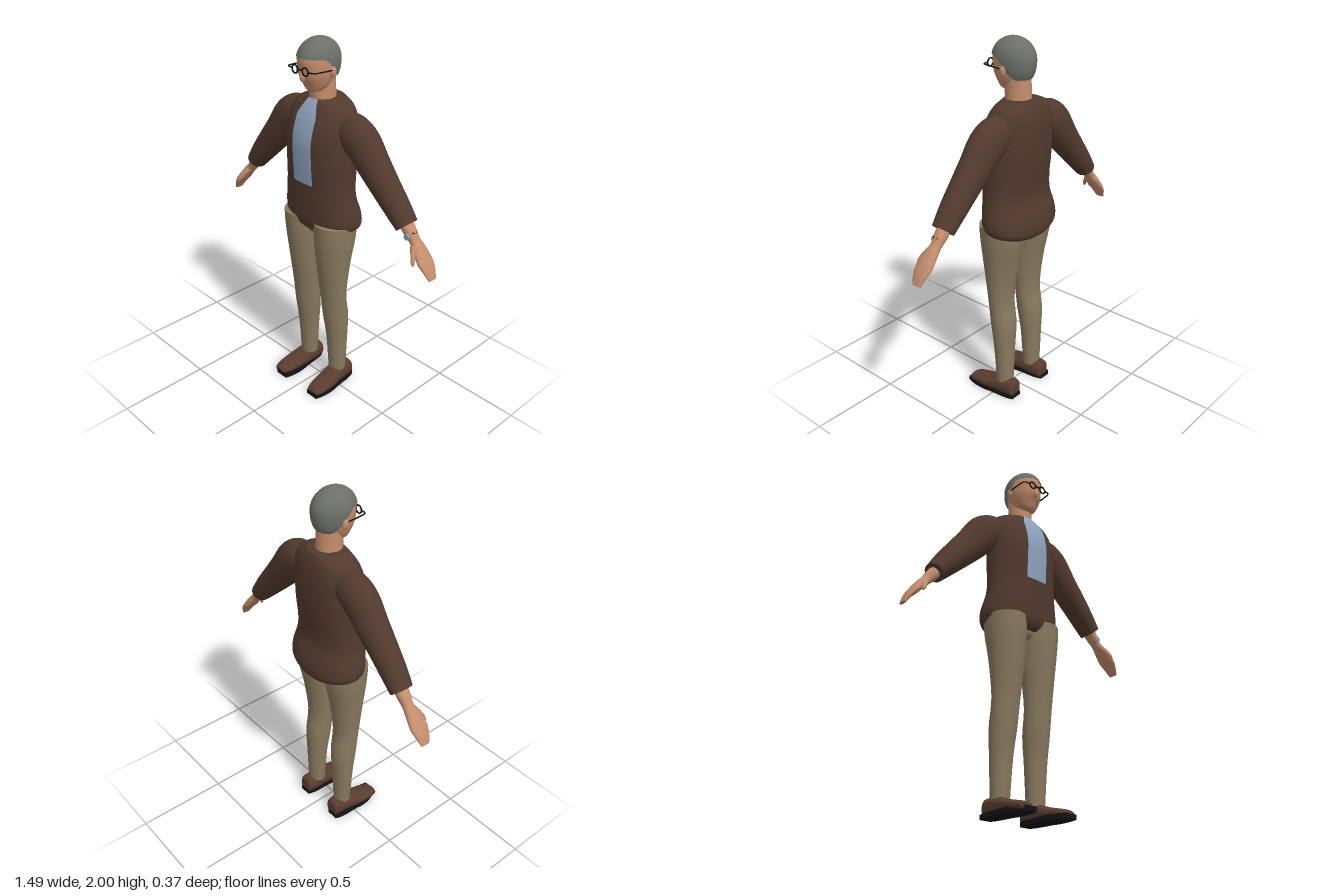
import * as THREE from 'three';

const mat = (name, color, side = THREE.FrontSide) => {
  const m = new THREE.MeshStandardMaterial({ color, side });
  m.name = name;
  return m;
};
const Z = new THREE.Vector3(0, 0, 1), Y = new THREE.Vector3(0, 1, 0);

// Smooth value of a table of rows at t (Catmull-Rom, one column at a time)
function sample(rows, t) {
  const n = rows.length - 1, i = Math.min(Math.floor(t), n - 1), f = t - i;
  const row = k => rows[Math.max(0, Math.min(n, k))];
  return rows[0].map((_, c) => {
    const [a, b, d, e] = [row(i - 1)[c], row(i)[c], row(i + 1)[c], row(i + 2)[c]];
    return b + 0.5 * f * (d - a + f * (2 * a - 5 * b + 4 * d - e + f * (3 * (b - d) + e - a)));
  });
}

// Closed skin over rows of [x, y, z, radiusAcross, radiusAlongV]; p sets how square the rings are
function loft(rows, V = Z, p = 2, seg = 36, sub = 4) {
  const pos = [], idx = [], steps = (rows.length - 1) * sub;
  for (let i = 0; i <= steps; i++) {
    const t = i / sub, [x, y, z, ra, rb] = sample(rows, t);
    const a = sample(rows, Math.max(0, t - 0.1)), b = sample(rows, Math.min(rows.length - 1, t + 0.1));
    const T = new THREE.Vector3(b[0] - a[0], b[1] - a[1], b[2] - a[2]);
    const U = new THREE.Vector3().crossVectors(V, T).normalize();
    for (let j = 0; j < seg; j++) {
      const q = j / seg * Math.PI * 2, c = Math.cos(q), s = Math.sin(q);
      const u = Math.sign(c) * Math.abs(c) ** (2 / p) * ra, v = Math.sign(s) * Math.abs(s) ** (2 / p) * rb;
      pos.push(x + U.x * u + V.x * v, y + U.y * u + V.y * v, z + U.z * u + V.z * v);
    }
  }
  for (let i = 0; i < steps; i++) for (let j = 0; j < seg; j++) {
    const k = (j + 1) % seg, a = i * seg + j, b = i * seg + k, c = b + seg, d = a + seg;
    idx.push(a, b, c, a, c, d);
  }
  // Flat caps with their own corners
  for (const end of [0, steps]) {
    const first = pos.length / 3, r = rows[end ? rows.length - 1 : 0];
    pos.push(...pos.slice(end * seg * 3, (end + 1) * seg * 3), r[0], r[1], r[2]);
    for (let j = 0; j < seg; j++) {
      const a = first + j, b = first + (j + 1) % seg;
      idx.push(first + seg, end ? a : b, end ? b : a);
    }
  }
  const g = new THREE.BufferGeometry();
  g.setAttribute('position', new THREE.Float32BufferAttribute(pos, 3));
  g.setIndex(idx);
  g.computeVertexNormals();
  return g;
}

export function createModel() {
  const sweater = mat('sweater brown', 0x523a2e), khaki = mat('trouser khaki', 0x897a5f);
  const skin = mat('skin', 0xc48d6c), grey = mat('hair grey', 0x6d706a, THREE.DoubleSide);
  const blue = mat('shirt blue', 0x8fa3be, THREE.DoubleSide), leather = mat('shoe leather', 0x5a3d31);
  const black = mat('black', 0x141416);
  const model = new THREE.Group(), body = new THREE.Group();
  body.name = 'figure';
  body.position.x = -0.011;
  model.add(body);
  const add = (name, geo, m, parent = body) => {
    const o = new THREE.Mesh(geo, m);
    o.name = name;
    parent.add(o);
    return o;
  };

  // Sweater body: y, half width, front z, back z
  const torso = [
    [0.985, 0.165, 0.065, -0.172], [1.01, 0.215, 0.085, -0.182], [1.045, 0.233, 0.096, -0.184],
    [1.1, 0.231, 0.1, -0.175], [1.18, 0.215, 0.103, -0.15], [1.265, 0.207, 0.106, -0.15],
    [1.38, 0.206, 0.113, -0.164], [1.5, 0.203, 0.114, -0.17], [1.6, 0.196, 0.088, -0.167],
    [1.665, 0.165, 0.055, -0.155], [1.7, 0.09, 0.03, -0.14],
  ].map(([y, w, f, b]) => [0, y, (f + b) / 2, w, (f - b) / 2]);
  add('sweaterBody', loft(torso, Z, 2.25, 48), sweater);

  // Shirt front: a thin strip that follows the chest
  const strip = new THREE.PlaneGeometry(2, 1, 8, 20), sp = strip.attributes.position;
  for (let i = 0; i < sp.count; i++) {
    const t = 5 + 4.95 * (sp.getY(i) + 0.5), [, y, z, rx, rz] = sample(torso, t);
    const half = y > 1.62 ? 0.067 - (y - 1.62) * 0.45 : 0.067, x = sp.getX(i) * half;
    sp.setXYZ(i, x, y, z + rz * (1 - Math.abs(x / rx) ** 2.25) ** (1 / 2.25) + 0.004);
  }
  strip.computeVertexNormals();
  add('shirtFront', strip, blue);

  // Seat of the trousers between the legs
  add('trouserSeat', loft([[0, 0.945, -0.02, 0.03, 0.05], [0, 0.965, -0.03, 0.09, 0.08],
    [0, 1.01, -0.04, 0.13, 0.1]]), khaki);

  for (const s of [1, -1]) {
    const side = s > 0 ? 'left' : 'right';

    // Trouser leg: y, x, half width, front z, back z
    const leg = [
      [0.085, 0.115, 0.05, 0.006, -0.086], [0.3, 0.114, 0.062, 0.02, -0.092],
      [0.45, 0.111, 0.073, 0.041, -0.096], [0.6, 0.109, 0.078, 0.056, -0.076],
      [0.8, 0.108, 0.094, 0.083, -0.1], [0.95, 0.111, 0.107, 0.1, -0.13], [1.045, 0.113, 0.109, 0.104, -0.135],
    ].map(([y, x, w, f, b]) => [s * x, y, (f + b) / 2, w, (f - b) / 2]);
    add(side + 'TrouserLeg', loft(leg), khaki);

    // Shoe upper, heel to toe: z, x, half width, top
    const shoe = [
      [-0.124, 0.122, 0.035, 0.085], [-0.11, 0.122, 0.044, 0.103], [-0.05, 0.122, 0.05, 0.102],
      [0.0, 0.125, 0.053, 0.093], [0.06, 0.13, 0.057, 0.073], [0.13, 0.135, 0.052, 0.055],
      [0.165, 0.138, 0.042, 0.046], [0.18, 0.139, 0.033, 0.036],
    ].map(([z, x, w, top]) => [s * x, (top + 0.006) / 2, z, w, (top - 0.006) / 2]);
    add(side + 'ShoeUpper', loft(shoe, Y, 2.5, 28), leather);

    // Flat sole
    const sole = new THREE.Shape();
    sole.moveTo(0.09, 0.128);
    sole.lineTo(0.155, 0.128);
    sole.bezierCurveTo(0.18, 0.08, 0.17, 0.02, 0.188, -0.05);
    sole.bezierCurveTo(0.194, -0.11, 0.188, -0.14, 0.176, -0.184);
    sole.lineTo(0.102, -0.184);
    sole.bezierCurveTo(0.08, -0.14, 0.066, -0.11, 0.068, -0.05);
    sole.bezierCurveTo(0.08, 0.02, 0.066, 0.08, 0.09, 0.128);
    const soleGeo = new THREE.ExtrudeGeometry(sole, { depth: 0.024, bevelEnabled: false, curveSegments: 8 });
    soleGeo.rotateX(-Math.PI / 2);
    const soleMesh = add(side + 'ShoeSole', soleGeo, black);
    if (s < 0) soleMesh.position.x = -0.256;

    // Arm, swung from the shoulder
    const arm = new THREE.Group();
    arm.name = side + 'Arm';
    arm.position.set(s * 0.2, 1.555, 0);
    if (s > 0) arm.rotation.z = 0.028;
    body.add(arm);
    const local = rows => rows.map(([x, y, z, a, b]) => [s * (x - 0.2), y - 1.555, z, a, b]);
    add(side + 'Sleeve', loft(local([
      [0.15, 1.56, -0.05, 0.086, 0.078], [0.2, 1.553, -0.05, 0.1, 0.083], [0.26, 1.513, -0.05, 0.102, 0.083],
      [0.33, 1.43, -0.05, 0.09, 0.079], [0.41, 1.34, -0.049, 0.079, 0.072], [0.49, 1.25, -0.05, 0.067, 0.067],
      [0.555, 1.172, -0.052, 0.053, 0.061]])), sweater, arm);
    add(side + 'Hand', loft(local([
      [0.53, 1.2, -0.054, 0.034, 0.036], [0.575, 1.147, -0.054, 0.031, 0.034], [0.605, 1.11, -0.054, 0.025, 0.029],
      [0.635, 1.078, -0.052, 0.024, 0.038], [0.675, 1.028, -0.048, 0.021, 0.05],
      [0.705, 0.99, -0.047, 0.015, 0.043], [0.731, 0.942, -0.046, 0.007, 0.026]]), Z, 2.2, 24), skin, arm);
    add(side + 'Thumb', loft(local([
      [0.615, 1.095, -0.035, 0.016, 0.02], [0.638, 1.06, -0.008, 0.014, 0.016],
      [0.65, 1.035, 0.008, 0.011, 0.012], [0.66, 1.015, 0.016, 0.005, 0.006]]), Z, 2, 16), skin, arm);

    // Wristwatch on the left arm
    if (s > 0) {
      const face = add('watchFace', new THREE.CylinderGeometry(0.016, 0.016, 0.008, 16), blue, arm);
      face.rotation.x = Math.PI / 2;
      face.position.set(0.384, -0.424, -0.019);
      const mark = add('watchClasp', new THREE.BoxGeometry(0.008, 0.008, 0.03), black, arm);
      mark.rotation.z = -0.87;
      mark.position.set(0.404, -0.405, -0.052);
    }

    // Ear, lens rim and temple of the glasses
    const ear = add(side + 'Ear', new THREE.SphereGeometry(1, 16, 12), skin);
    ear.scale.set(0.012, 0.027, 0.018);
    ear.position.set(s * 0.094, 1.843, -0.012);
    const rim = add(side + 'LensRim', new THREE.TorusGeometry(0.021, 0.0042, 8, 8), black);
    rim.rotation.z = Math.PI / 8;
    rim.position.set(s * 0.036, 1.858, 0.118);
    const temple = new THREE.CatmullRomCurve3([[0.056, 1.86, 0.118], [0.09, 1.86, 0.11], [0.097, 1.858, 0.06],
      [0.098, 1.854, -0.005]].map(([x, y, z]) => new THREE.Vector3(s * x, y, z)));
    add(side + 'Temple', new THREE.TubeGeometry(temple, 16, 0.0038, 6), black);
  }
  const bridge = add('glassesBridge', new THREE.CylinderGeometry(0.004, 0.004, 0.032, 8), black);
  bridge.rotation.z = Math.PI / 2;
  bridge.position.set(0, 1.861, 0.118);

  // Neck and face
  add('neck', loft([[0, 1.67, -0.035, 0.068, 0.069], [0, 1.73, -0.032, 0.065, 0.068],
    [0, 1.82, -0.03, 0.066, 0.067]]), skin);
  add('face', loft([
    [1.737, 0.022, 0.052, -0.01], [1.75, 0.05, 0.066, -0.03], [1.78, 0.071, 0.08, -0.06],
    [1.82, 0.085, 0.1, -0.085], [1.86, 0.091, 0.106, -0.1], [1.91, 0.089, 0.109, -0.105], [1.95, 0.07, 0.08, -0.08],
  ].map(([y, w, f, b]) => [0, y, (f + b) / 2, w, (f - b) / 2])), skin);
  const nose = add('nose', new THREE.SphereGeometry(1, 16, 12), skin);
  nose.scale.set(0.014, 0.028, 0.017);
  nose.position.set(0, 1.825, 0.101);

  // Hair cap: a dome whose rim drops from the forehead to the nape
  const hair = new THREE.SphereGeometry(1, 40, 20), hp = hair.attributes.position, uv = hair.attributes.uv;
  for (let i = 0; i < hp.count; i++) {
    const az = uv.getX(i) * Math.PI * 2, rimY = 1.908 - 0.112 * THREE.MathUtils.smoothstep(-Math.cos(az), -0.5, 0.7);
    const phi = Math.round((1 - uv.getY(i)) * 20) / 20 * Math.acos((rimY - 1.89) / 0.11);
    const r = phi > Math.PI / 2 ? Math.sin(phi) ** 0.4 : Math.sin(phi);
    hp.setXYZ(i, 0.097 * r * Math.sin(az), 1.89 + 0.11 * Math.cos(phi), -0.005 + 0.122 * r * Math.cos(az));
  }
  hair.computeVertexNormals();
  add('hair', hair, grey);

  return model;
}
